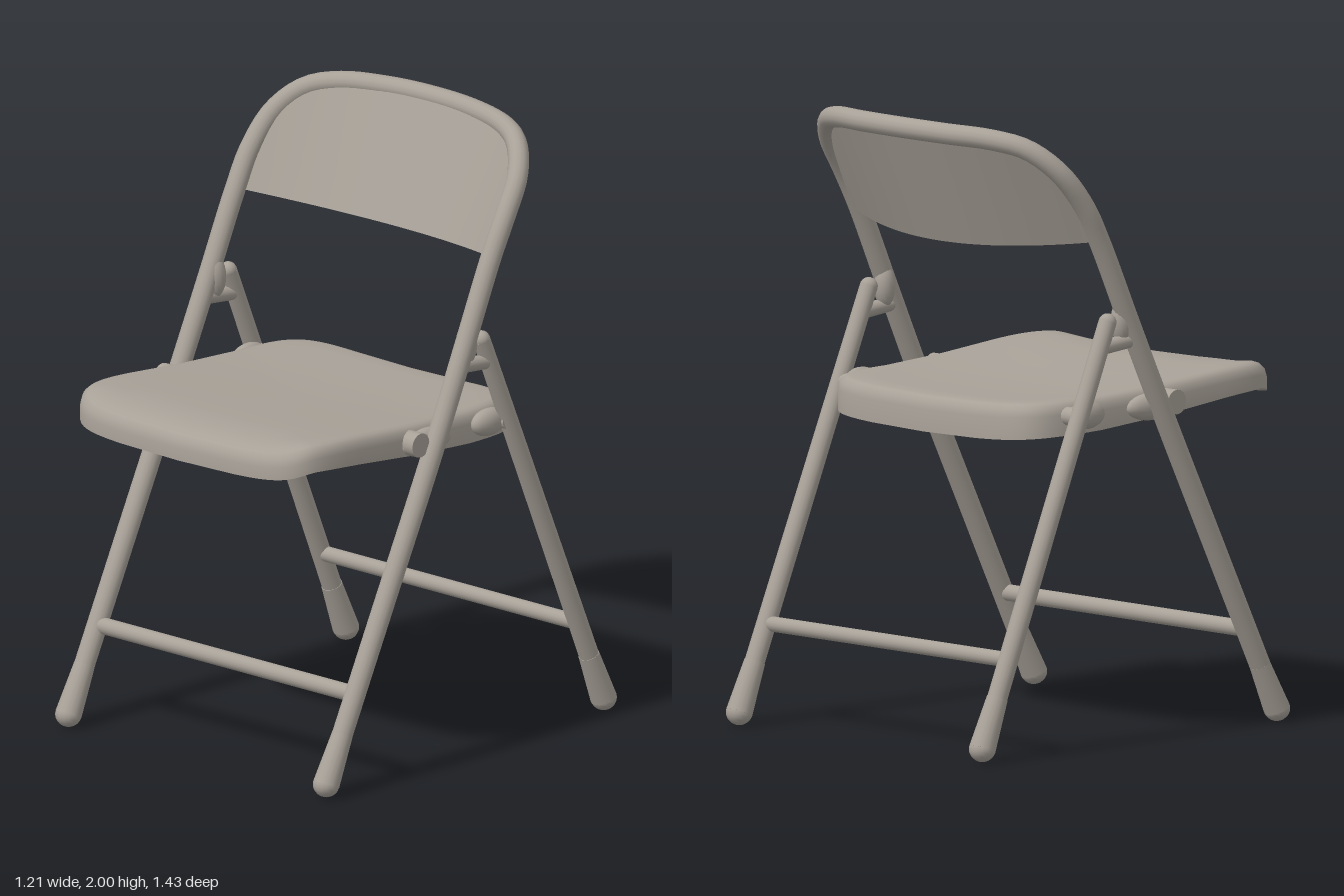
import * as THREE from 'three';
import { toCreasedNormals } from 'three/addons/utils/BufferGeometryUtils.js';

const V = (x, y, z) => new THREE.Vector3(x, y, z);

// Skin a list of closed cross-section loops
function loft(sections, crease) {
  const n = sections[0].length, index = [];
  for (let k = 0; k < sections.length - 1; k++) {
    for (let j = 0; j < n; j++) {
      const a = k * n + j, b = k * n + (j + 1) % n;
      index.push(a, a + n, b + n, a, b + n, b);
    }
  }
  const g = new THREE.BufferGeometry().setFromPoints(sections.flat());
  g.setIndex(index);
  return toCreasedNormals(g, crease);
}

export function createModel() {
  const chair = new THREE.Group();
  chair.name = 'foldingChair';
  const paint = new THREE.MeshStandardMaterial({ color: 0xa8a198 });
  paint.name = 'warmGreyPaint';

  const add = (name, geometry) => {
    const m = new THREE.Mesh(geometry, paint);
    m.name = name;
    chair.add(m);
    return m;
  };
  // Cylinder between two points
  const rod = (name, a, b, r0, r1 = r0) => {
    const d = b.clone().sub(a);
    const m = add(name, new THREE.CylinderGeometry(r1, r0, d.length(), 16));
    m.position.copy(a).addScaledVector(d, 0.5);
    m.quaternion.setFromUnitVectors(V(0, 1, 0), d.normalize());
    return m;
  };
  const ball = (name, p, sx, sy = sx, sz = sx) => {
    const m = add(name, new THREE.SphereGeometry(1, 16, 12));
    m.position.copy(p);
    m.scale.set(sx, sy, sz);
    return m;
  };

  // Front legs and back hoop in one bent tube
  const half = [
    [0.56, 0.04, 0.62], [0.56, 0.54, 0.37], [0.56, 1.04, 0.12], [0.557, 1.35, -0.028],
    [0.555, 1.62, -0.155], [0.553, 1.74, -0.222], [0.53, 1.85, -0.305],
    [0.46, 1.925, -0.378], [0.36, 1.952, -0.432], [0.19, 1.96, -0.478],
  ];
  const path = [
    ...half.map(([x, y, z]) => V(-x, y, z)), V(0, 1.962, -0.492),
    ...half.slice().reverse().map(([x, y, z]) => V(x, y, z)),
  ];
  add('frontLegsAndBackHoop', new THREE.TubeGeometry(new THREE.CatmullRomCurve3(path), 160, 0.034, 14));

  // Curved backrest sheet hung inside the hoop
  const hoop = new THREE.CatmullRomCurve3(path.slice(4, -4)).getSpacedPoints(60);
  const rows = [0, 0.25, 0.5, 0.75, 1];
  add('backrest', loft(hoop.map((p) => {
    const q = Math.min(1, (p.x / 0.555) ** 2);
    const low = V(p.x, 1.58 + 0.04 * q, -0.292 + 0.137 * q);
    const top = V(p.x, p.y + 0.018 * (1 - q), p.z + 0.022);
    const front = rows.map((t) => low.clone().lerp(top, t));
    const back = front.map((v) => v.clone().add(V(0, 0, -0.03))).reverse();
    return [...front, ...back];
  }), 0.8));

  // Seat pan: rounded outline, dished top, skirt and hollow underside
  const topY = (x, z) => 1.113 + 0.042 * THREE.MathUtils.smoothstep(z, -0.1, 0.62)
    - 0.022 * (1 - (x / 0.53) ** 2)
    - 0.025 * THREE.MathUtils.smoothstep(z, 0.6, 0.72);
  const skirt = (z) => THREE.MathUtils.lerp(0.117, 0.085, (z + 0.4) / 1.1);
  // [scale, drop below the top, fraction of the skirt depth]
  const rings = [
    [0.001, 0, 0], [0.3, 0, 0], [0.6, 0, 0], [0.82, 0, 0], [0.93, 0, 0], [0.965, 0.005, 0],
    [0.99, 0.02, 0], [1, 0.045, 0], [1, 0, 1], [0.965, 0, 1], [0.955, 0.035, 0],
    [0.6, 0.025, 0], [0.001, 0.025, 0],
  ];
  const N = 72;
  const power = (c) => Math.sign(c) * Math.abs(c) ** (2 / 6.5);
  add('seat', loft(rings.map(([s, drop, f]) => Array.from({ length: N }, (_, j) => {
    const a = -2 * Math.PI * j / N;
    const w = power(Math.sin(a));
    const x = s * power(Math.cos(a)) * (0.517 + 0.013 * w);
    const z = 0.158 + s * w * 0.556;
    return V(x, topY(x, z) - drop - f * skirt(z), z);
  })), 0.9));

  for (const s of [1, -1]) {
    const side = s > 0 ? 'left' : 'right';

    // Rear leg with rounded top
    const foot = V(s * 0.56, 0.04, -0.675), head = V(s * 0.55, 1.355, -0.115);
    rod(side + 'RearLeg', foot, head, 0.033, 0.029);
    ball(side + 'RearLegTop', head, 0.029);

    // Flared foot caps
    const caps = [['Front', V(s * 0.56, 0.041, 0.62), V(s * 0.56, 0.19, 0.545)],
      ['Rear', foot, foot.clone().lerp(head, 0.12)]];
    for (const [end, low, high] of caps) {
      rod(side + end + 'FootCap', low, high, 0.043, 0.034);
      ball(side + end + 'FootTip', low, 0.043, 0.041, 0.043);
    }

    // Link joining the rear leg to the hoop
    rod(side + 'UpperLink', V(s * 0.553, 1.29, 0), V(s * 0.55, 1.275, -0.15), 0.024);
    ball(side + 'UpperPivot', V(s * 0.545, 1.35, -0.05), 0.034, 0.07, 0.035);

    // Seat hinges against both legs
    ball(side + 'FrontHinge', V(s * 0.52, 1.06, 0.11), 0.035, 0.045, 0.11);
    ball(side + 'RearHinge', V(s * 0.52, 1.06, -0.18), 0.035, 0.045, 0.075);
    rod(side + 'FrontHingePin', V(s * 0.48, 1.07, 0.18), V(s * 0.562, 1.07, 0.18), 0.04);
    rod(side + 'RearHingePin', V(s * 0.48, 1.06, -0.235), V(s * 0.56, 1.06, -0.235), 0.03);
  }

  // Cross bars between the legs
  rod('frontCrossBar', V(-0.55, 0.31, 0.485), V(0.55, 0.31, 0.485), 0.027);
  rod('rearCrossBar', V(-0.55, 0.315, -0.557), V(0.55, 0.315, -0.557), 0.025);

  return chair;
}
